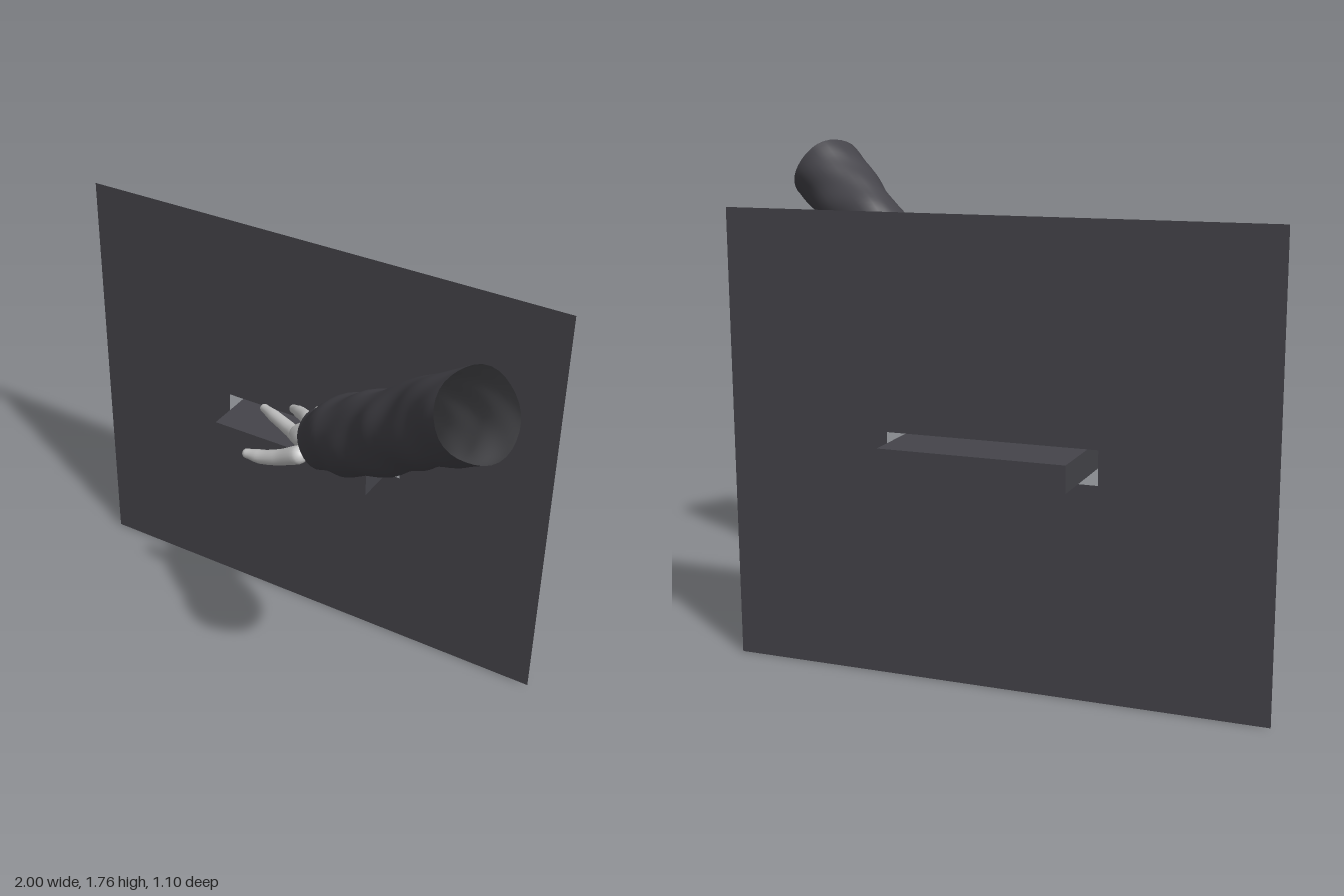
import * as THREE from 'three';

const panelMat = new THREE.MeshStandardMaterial({ color: 0x45444a, side: THREE.DoubleSide });
panelMat.name = 'charcoal';
const liningMat = new THREE.MeshStandardMaterial({ color: 0x505054, side: THREE.BackSide });
liningMat.name = 'lining grey';
const skinMat = new THREE.MeshStandardMaterial({ color: 0xcccccc });
skinMat.name = 'pale grey';

const V = (x, y, z) => new THREE.Vector3(x, y, z);

// Smooth tube through stations [x, y, z, halfWidth, halfHeight], with optional round ends
function loft(stations, { side, steps = 20, sides = 16, capStart = false, capEnd = false, ripple = () => 1 }) {
  const curve = new THREE.CatmullRomCurve3(stations.map((s) => V(s[0], s[1], s[2])));
  const radiusAt = (t, k) => {
    const f = t * (stations.length - 1);
    const i = Math.min(Math.floor(f), stations.length - 2);
    return THREE.MathUtils.lerp(stations[i][k], stations[i + 1][k], THREE.MathUtils.smoothstep(f - i, 0, 1));
  };
  const rings = [];
  const addRing = (t, push, shrink) => {
    const tangent = curve.getTangent(t);
    const a = radiusAt(t, 3), b = radiusAt(t, 4);
    const centre = curve.getPoint(t).addScaledVector(tangent, push * b);
    const across = side.clone().addScaledVector(tangent, -side.dot(tangent)).normalize();
    const up = tangent.clone().cross(across);
    rings.push({ t, centre, across, up, a: a * shrink, b: b * shrink });
  };
  const cap = [1, 0.75, 0.5, 0.25].map((q) => q * Math.PI / 2);
  if (capStart) cap.forEach((q) => addRing(0, -Math.sin(q), Math.max(Math.cos(q), 0.01)));
  for (let i = 0; i <= steps; i++) addRing(i / steps, 0, 1);
  if (capEnd) [...cap].reverse().forEach((q) => addRing(1, Math.sin(q), Math.max(Math.cos(q), 0.01)));

  const pos = [], index = [];
  rings.forEach((r, i) => {
    for (let j = 0; j < sides; j++) {
      const q = (j / sides) * Math.PI * 2;
      const m = ripple(r.t, q);
      const p = r.centre.clone()
        .addScaledVector(r.across, r.a * m * Math.cos(q))
        .addScaledVector(r.up, r.b * m * Math.sin(q));
      pos.push(p.x, p.y, p.z);
      if (i === rings.length - 1) continue;
      const k = (j + 1) % sides, A = i * sides, B = A + sides;
      index.push(A + j, A + k, B + j, A + k, B + k, B + j);
    }
  });
  const geo = new THREE.BufferGeometry();
  geo.setAttribute('position', new THREE.Float32BufferAttribute(pos, 3));
  geo.setIndex(index);
  geo.computeVertexNormals();
  return geo;
}

function add(parent, name, geo, mat) {
  const mesh = new THREE.Mesh(geo, mat);
  mesh.name = name;
  parent.add(mesh);
  return mesh;
}

export function createModel() {
  const model = new THREE.Group();
  model.name = 'handAtSlot';

  // Thin wall with a letterbox-shaped opening
  const wall = new THREE.Shape([[-1, 0], [0.87, 0], [0.87, 1.56], [-1, 1.56]].map((p) => new THREE.Vector2(...p)));
  wall.holes.push(new THREE.Path([[-0.43, 0.725], [-0.43, 0.84], [0.295, 0.84], [0.295, 0.725]].map((p) => new THREE.Vector2(...p))));
  add(model, 'wallPanel', new THREE.ShapeGeometry(wall), panelMat).position.z = -0.385;

  // Block passing through the opening
  add(model, 'slotBlock', new THREE.BoxGeometry(0.63, 0.09, 0.345), panelMat).position.set(-0.065, 0.783, -0.386);

  // Sleeve with soft folds, and its lining
  const ripple = (t, q) => 1
    + 0.03 * Math.sin(t * 27 + 2 * q) * Math.sin(Math.PI * Math.min(1, t * 1.1))
    + 0.022 * Math.sin(t * 16 - 3 * q + 1)
    + 0.012 * Math.sin(5 * q + t * 34);
  const sleeve = [
    [0.215, 1.105, 0.03, 0.098, 0.102],
    [0.35, 1.205, 0.1, 0.125, 0.132],
    [0.5, 1.315, 0.185, 0.124, 0.132],
    [0.63, 1.425, 0.26, 0.122, 0.13],
    [0.77, 1.54, 0.335, 0.126, 0.133],
    [0.907, 1.645, 0.412, 0.137, 0.137],
  ];
  const cloth = { side: V(0.5, 0, -0.86), steps: 48, sides: 32, ripple };
  const arm = new THREE.Group();
  arm.name = 'arm';
  model.add(arm);
  add(arm, 'sleeve', loft(sleeve, cloth), panelMat);
  const lining = sleeve.map((s, i) => {
    const k = i === sleeve.length - 1 ? 1 : 0.95;
    return [s[0], s[1], s[2], s[3] * k, s[4] * k];
  });
  add(arm, 'sleeveLining', loft(lining, cloth), liningMat);

  // Palm and wrist
  const hand = new THREE.Group();
  hand.name = 'hand';
  arm.add(hand);
  add(hand, 'palm', loft([
    [0.31, 1.165, 0.08, 0.068, 0.055],
    [0.22, 1.1, 0.02, 0.074, 0.052],
    [0.16, 1.06, -0.035, 0.092, 0.048],
    [0.12, 1.035, -0.095, 0.098, 0.038],
    [0.1, 1.022, -0.13, 0.094, 0.028],
  ], { side: V(0.83, 0.12, -0.55), sides: 28, capStart: true, capEnd: true }), skinMat);

  // Fingers: path points, with radii tapering from base to tip
  const radii = [0.029, 0.025, 0.0225, 0.016];
  const digits = {
    thumb: [[0.14, 1.035, 0.065], [0.05, 0.98, 0.045], [-0.03, 0.945, 0.03], [-0.09, 0.932, 0.022]],
    indexFinger: [[0.075, 1.02, -0.045], [0.01, 1.0, -0.095], [-0.09, 0.975, -0.165], [-0.175, 0.952, -0.225]],
    middleFinger: [[0.085, 1.025, -0.1], [0.04, 1.01, -0.165], [-0.04, 0.965, -0.25], [-0.107, 0.925, -0.313]],
    ringFinger: [[0.125, 1.03, -0.125], [0.09, 1.015, -0.19], [0.03, 0.97, -0.275], [-0.02, 0.932, -0.34]],
    littleFinger: [[0.18, 1.045, -0.145], [0.17, 1.035, -0.205], [0.142, 1.01, -0.275], [0.116, 0.99, -0.328]],
  };
  for (const [name, path] of Object.entries(digits)) {
    const scale = name === 'thumb' ? 1.1 : name === 'littleFinger' ? 0.92 : 1;
    const stations = path.map((p, i) => [...p, radii[i] * scale, radii[i] * scale]);
    add(hand, name, loft(stations, { side: V(0.83, 0.12, -0.55), capStart: true, capEnd: true }), skinMat);
  }
  return model;
}
